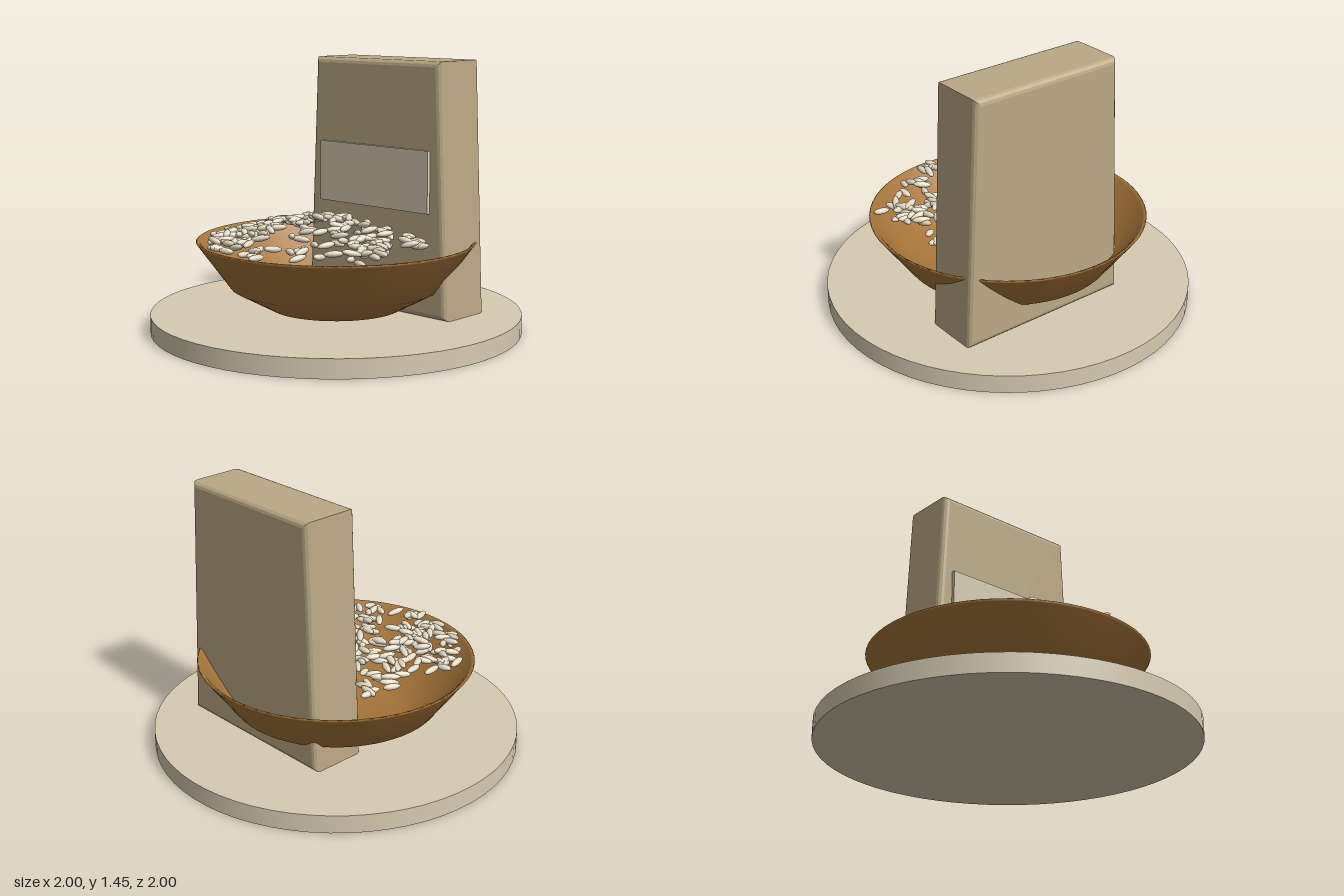
import * as THREE from 'three';

const material = (name, color, extra = {}) => {
  const m = new THREE.MeshStandardMaterial({ color, ...extra });
  m.name = name;
  return m;
};

// Small seeded generator for the grain scatter
function seeded(seed) {
  return () => {
    seed = (seed * 1664525 + 1013904223) % 4294967296;
    return seed / 4294967296;
  };
}

export function createModel() {
  const model = new THREE.Group();
  model.name = 'grainBowlDisplay';
  const stone = material('paleStone', 0xd6cab2);
  const kraft = material('kraftTan', 0xbba985);
  const wood = material('warmWood', 0xa8763a, { side: THREE.DoubleSide });
  const husk = material('grainCream', 0xe4dac4);

  const add = (name, geometry, mat, parent = model) => {
    const mesh = new THREE.Mesh(geometry, mat);
    mesh.name = name;
    parent.add(mesh);
    return mesh;
  };

  // Round display base
  add('base', new THREE.CylinderGeometry(1, 1, 0.1, 64), stone).position.y = 0.05;

  // Tapered pack with bevelled front and back edges
  const outline = new THREE.Shape([
    new THREE.Vector2(-0.37, 0.1), new THREE.Vector2(0.63, 0.1),
    new THREE.Vector2(0.57, 1.45), new THREE.Vector2(-0.31, 1.45),
  ]);
  const bevel = 0.03;
  const pack = add('pack', new THREE.ExtrudeGeometry(outline, {
    depth: 0.325 - 2 * bevel, bevelThickness: bevel, bevelSize: bevel,
    bevelOffset: -bevel, bevelSegments: 3,
  }), kraft);
  pack.position.z = -0.49 + bevel;

  // Blank label panel on the pack front
  add('label', new THREE.BoxGeometry(0.77, 0.33, 0.02), stone).position.set(0.128, 0.825, -0.155);

  // Thin flared bowl with a small rolled lip
  const profile = [
    [0, 0.12], [0.36, 0.12], [0.57, 0.235], [0.745, 0.475], [0.752, 0.485],
    [0.745, 0.49], [0.73, 0.48], [0.55, 0.255], [0.34, 0.145], [0, 0.145],
  ].map(([r, y]) => new THREE.Vector2(r, y));
  add('bowl', new THREE.LatheGeometry(profile, 64), wood);

  // Loose mound of grains, with a few bare patches
  const grains = new THREE.Group();
  grains.name = 'grains';
  model.add(grains);
  const random = seeded(41);
  const grain = new THREE.SphereGeometry(1, 10, 8);
  const gaps = [[0.06, 0.18, 0.09], [0.03, 0.48, 0.1], [0.48, 0.65, 0.2], [-0.05, 0.66, 0.07], [0.2, 0.4, 0.06]];
  let count = 0;
  while (count < 210) {
    const x = (random() * 2 - 1) * 0.55;
    const z = -0.24 + random() * 0.93;
    const blocked = z < -0.13 && x > -0.4;
    const bare = gaps.some(([gx, gz, r]) => Math.hypot(x - gx, z - gz) < r);
    const sparse = x > 0 && random() < 0.3;
    if (blocked || bare || sparse || Math.hypot(x, z) > 0.69) continue;
    const height = 0.5 + 0.12 * Math.max(0, 1 - Math.hypot(x, z - 0.08) / 0.62);
    const mesh = add('grain', grain, husk, grains);
    mesh.position.set(x, height + (random() - 0.5) * 0.03, z);
    mesh.rotation.set(0, random() * Math.PI * 2, (random() - 0.5) * 0.5);
    mesh.scale.set(0.043 + random() * 0.012, 0.017, 0.019);
    count++;
  }
  return model;
}
